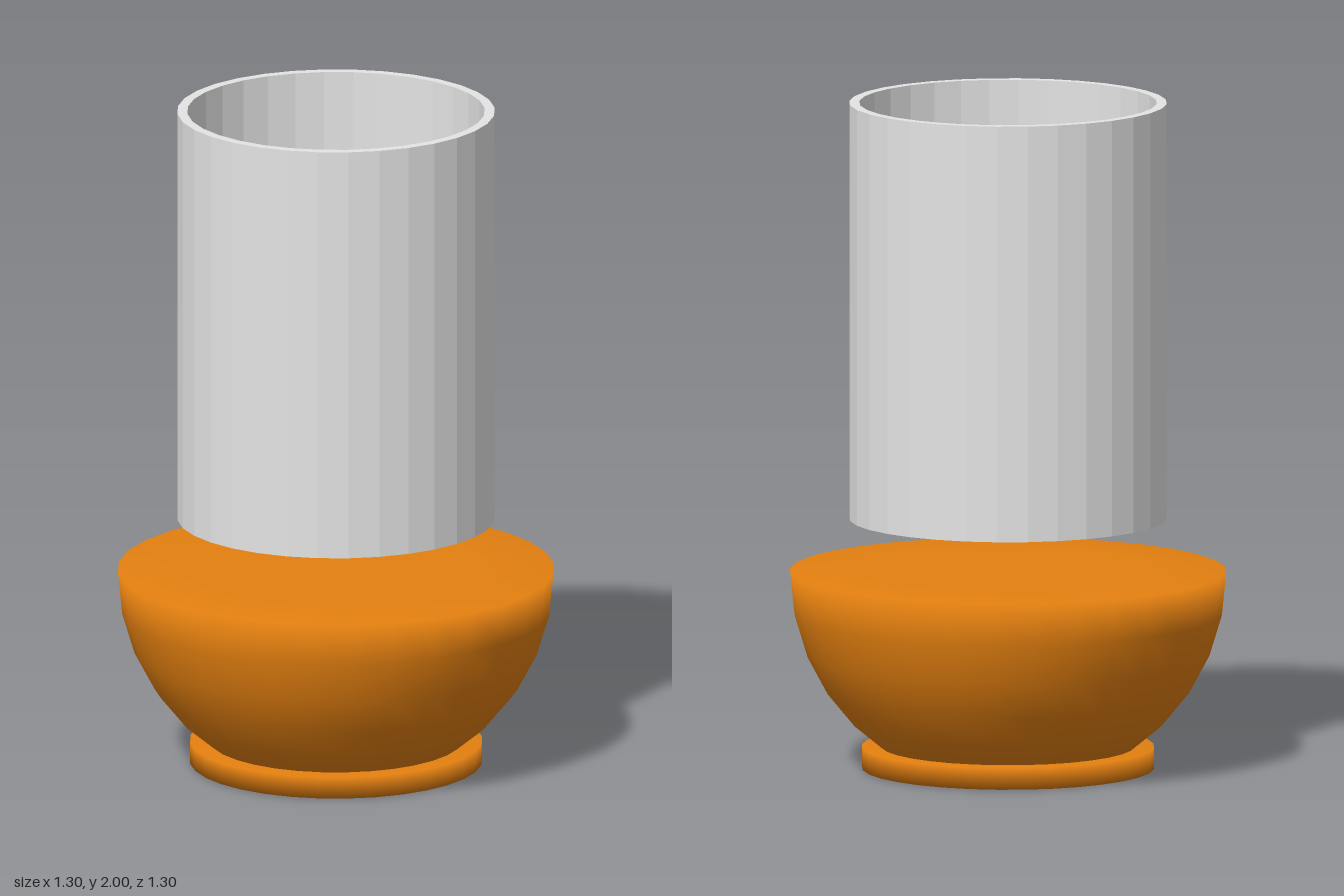
import * as THREE from 'three';

const SIDES = 32;

// Smooth turned part; each profile entry is [radius, height, normal out, normal up]
function smoothTurned(name, profile, material) {
  const geo = new THREE.LatheGeometry(profile.map(([r, y]) => new THREE.Vector2(r, y)), SIDES);
  const normal = geo.attributes.normal;
  for (let i = 0; i <= SIDES; i++) {
    const a = (i / SIDES) * Math.PI * 2;
    profile.forEach(([, , out, up], j) => {
      const n = new THREE.Vector3(Math.sin(a) * out, up, Math.cos(a) * out).normalize();
      normal.setXYZ(i * profile.length + j, n.x, n.y, n.z);
    });
  }
  const mesh = new THREE.Mesh(geo, material);
  mesh.name = name;
  return mesh;
}

// Faceted turned part
function facetedTurned(name, profile, material) {
  const points = profile.map(([r, y]) => new THREE.Vector2(r, y));
  const geo = new THREE.LatheGeometry(points, SIDES).toNonIndexed();
  geo.computeVertexNormals();
  const mesh = new THREE.Mesh(geo, material);
  mesh.name = name;
  return mesh;
}

export function createModel() {
  const orange = new THREE.MeshStandardMaterial({ color: 0xe48010 });
  orange.name = 'orange';
  const grey = new THREE.MeshStandardMaterial({ color: 0xe4e4e4 });
  grey.name = 'light grey';

  const model = new THREE.Group();
  model.name = 'cupOnBowl';

  // Thin foot disc with softened edges
  model.add(smoothTurned('foot', [
    [0, 0, 0, -1], [0.435, 0, 0.1, -1], [0.435, 0.065, 0.1, 1], [0, 0.065, 0, 1],
  ], orange));

  // Half-sphere bowl, closed by a flat top with a low raised centre
  const radius = 0.65, rim = 0.592;
  const bowl = [];
  for (let i = 5; i >= 1; i--) {
    const a = (i * Math.PI) / 16;
    bowl.push([radius * Math.cos(a), rim - radius * Math.sin(a), Math.cos(a), -Math.sin(a)]);
  }
  bowl.push([radius, rim, 0.12, 1], [0.42, 0.595, 0, 1], [0.35, 0.61, 0, 1], [0, 0.61, 0, 1]);
  model.add(smoothTurned('bowl', bowl, orange));

  // Open cup floating above the bowl
  model.add(facetedTurned('cup', [
    [0, 0.75], [0.473, 0.75], [0.473, 2], [0.443, 2], [0.443, 0.78], [0, 0.78],
  ], grey));

  return model;
}
